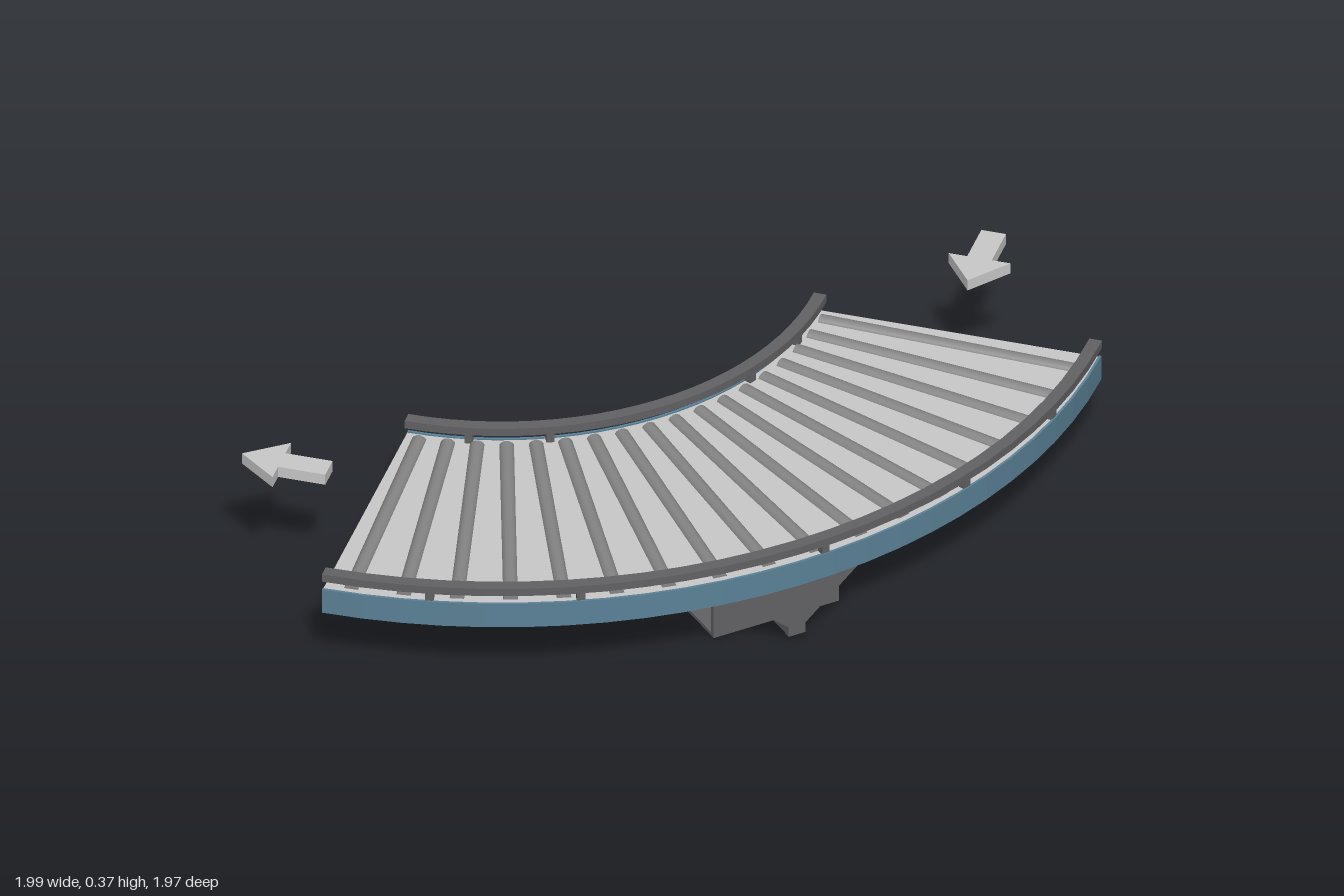
import * as THREE from 'three';

const mat = (name, color) => {
  const m = new THREE.MeshStandardMaterial({ color });
  m.name = name;
  return m;
};

export function createModel() {
  const lightGrey = mat('lightGrey', 0xc8c8c8);
  const blue = mat('panelBlue', 0x5b8297);
  const darkGrey = mat('darkGrey', 0x626265);
  const rollerGrey = mat('rollerGrey', 0x858585);

  const model = new THREE.Group();
  model.name = 'curvedRollerConveyor';
  // Everything on the curve is built around the bend centre
  const curve = new THREE.Group();
  curve.name = 'curve';
  curve.position.set(-0.66, 0, -0.67);
  model.add(curve);

  const add = (parent, name, geometry, material, x = 0, y = 0, z = 0) => {
    const mesh = new THREE.Mesh(geometry, material);
    mesh.name = name;
    mesh.position.set(x, y, z);
    parent.add(mesh);
    return mesh;
  };
  // Local frame whose +x points outward at the given angle
  const radialFrame = (name, degrees) => {
    const g = new THREE.Group();
    g.name = name;
    g.rotation.y = -THREE.MathUtils.degToRad(degrees);
    curve.add(g);
    return g;
  };
  // Flat shape in plan, extruded upward from y0 to y1
  const slab = (points, y0, y1) => new THREE.ExtrudeGeometry(
    new THREE.Shape(points), { depth: y1 - y0, bevelEnabled: false },
  ).rotateX(-Math.PI / 2).translate(0, y0, 0);
  // Quarter ring between two radii
  const quarterRing = (r0, r1, y0, y1, segments = 24) => {
    const arc = (r) => Array.from({ length: segments + 1 }, (_, i) => {
      const a = (i / segments) * Math.PI / 2;
      return new THREE.Vector2(r * Math.cos(a), -r * Math.sin(a));
    });
    return slab([...arc(r0), ...arc(r1).reverse()], y0, y1);
  };

  // Deck, side panels and guard rails
  add(curve, 'deck', quarterRing(0.87, 1.646, 0.18, 0.25), lightGrey);
  add(curve, 'innerPanel', quarterRing(0.863, 0.87, 0.18, 0.254), blue);
  add(curve, 'outerPanel', quarterRing(1.646, 1.653, 0.18, 0.254), blue);
  add(curve, 'innerRail', quarterRing(0.86, 0.895, 0.28, 0.303), darkGrey);
  add(curve, 'outerRail', quarterRing(1.62, 1.655, 0.28, 0.303), darkGrey);

  // Rollers, partly sunk in the deck
  const roller = new THREE.CylinderGeometry(0.022, 0.022, 0.735, 16).rotateZ(Math.PI / 2);
  for (let i = 0; i < 18; i++) {
    add(radialFrame('rollerFrame', 2.5 + i * 5), 'roller', roller, rollerGrey, 1.2575, 0.24);
  }

  // Short posts carrying the rails
  const post = new THREE.BoxGeometry(0.022, 0.036, 0.022);
  const posts = [[0.878, [11, 25, 65, 79]], [1.637, [11, 25, 42, 66, 80]]];
  for (const [radius, angles] of posts) {
    for (const a of angles) add(radialFrame('postFrame', a), 'railPost', post, darkGrey, radius, 0.264);
  }

  // Stand under the middle of the bend
  const stand = radialFrame('stand', 45);
  add(stand, 'basePlate', new THREE.BoxGeometry(0.53, 0.01, 0.376), darkGrey, 1.262, 0.005);
  const endPlate = new THREE.BoxGeometry(0.014, 0.18, 0.376);
  const bracket = new THREE.ExtrudeGeometry(new THREE.Shape([
    [-0.18, 0.18], [-0.025, 0.05], [-0.025, 0.02], [0.025, 0.02], [0.025, 0.05], [0.18, 0.18],
  ].map(([x, y]) => new THREE.Vector2(x, y))), { depth: 0.02, bevelEnabled: false })
    .translate(0, 0, -0.01).rotateY(Math.PI / 2);
  const bar = new THREE.BoxGeometry(0.11, 0.028, 0.05);
  for (const side of [-1, 1]) {
    add(stand, 'endPlate', endPlate, darkGrey, 1.262 + side * 0.26, 0.09);
    add(stand, 'bracket', bracket, darkGrey, 1.262 + side * 0.372);
    add(stand, 'bracketBar', bar, darkGrey, 1.262 + side * 0.315, 0.036);
  }

  // Direction arrows floating at both ends, pointing along local +z
  const arrow = slab([
    [-0.034, 0.12], [-0.034, -0.01], [-0.085, -0.01], [0, -0.12],
    [0.085, -0.01], [0.034, -0.01], [0.034, 0.12],
  ].map(([x, y]) => new THREE.Vector2(x, y)), 0.335, 0.367);
  add(model, 'infeedArrow', arrow, lightGrey, 0.6, 0, -0.87);
  add(model, 'outfeedArrow', arrow, lightGrey, -0.88, 0, 0.587).rotation.y = -Math.PI / 2;

  return model;
}
